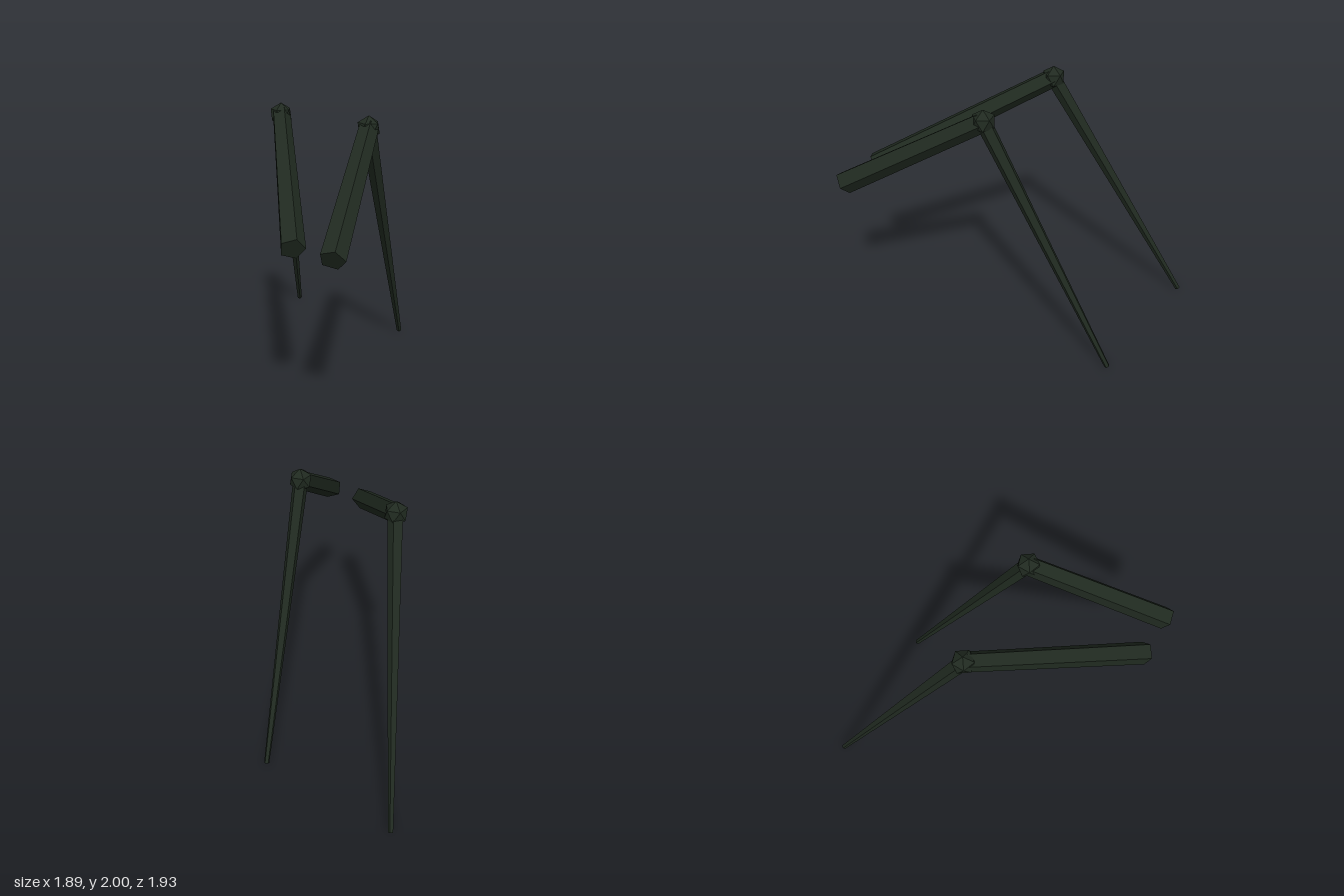
import * as THREE from 'three';
import { ConvexGeometry } from 'three/addons/geometries/ConvexGeometry.js';

const UP = new THREE.Vector3(0, 1, 0);

// Five-sided tapered limb from a to b, with one edge turned level to the side
function limb(name, a, b, ra, rb, material) {
  const dir = b.clone().sub(a);
  const length = dir.length();
  dir.normalize();
  const side = dir.clone().cross(UP).normalize();
  const across = dir.clone().cross(side);
  const mesh = new THREE.Mesh(new THREE.CylinderGeometry(rb, ra, length, 5), material);
  mesh.name = name;
  mesh.quaternion.setFromRotationMatrix(new THREE.Matrix4().makeBasis(across, dir, side));
  mesh.position.copy(a).add(b).multiplyScalar(0.5);
  return mesh;
}

// Icosahedron standing on a corner: two poles and two staggered rings of five
function jointGeometry(r) {
  const points = [new THREE.Vector3(0, r, 0), new THREE.Vector3(0, -r, 0)];
  const ringY = r / Math.sqrt(5);
  for (let i = 0; i < 10; i++) {
    const t = (i * Math.PI) / 5;
    points.push(new THREE.Vector3(2 * ringY * Math.sin(t), i % 2 ? -ringY : ringY, 2 * ringY * Math.cos(t)));
  }
  return new ConvexGeometry(points);
}

export function createModel() {
  const shell = new THREE.MeshStandardMaterial({ color: 0x202a20, flatShading: true });
  shell.name = 'darkGreenShell';
  const model = new THREE.Group();
  model.name = 'jointedLegs';
  const knee = jointGeometry(0.085);

  // Each leg: hip, knee and foot depth
  const legs = [
    { name: 'frontLeg', hipZ: 0.89, kneeZ: 0.46, footZ: 0.175 },
    { name: 'backLeg', hipZ: 0.575, kneeZ: -0.34, footZ: -0.94 },
  ];
  for (const { name, hipZ, kneeZ, footZ } of legs) {
    const hip = new THREE.Vector3(-0.885, 1.318, hipZ);
    const bend = new THREE.Vector3(0.037, 1.915, kneeZ);
    const foot = new THREE.Vector3(0.925, 0.01, footZ);
    const leg = new THREE.Group();
    leg.name = name;
    const joint = new THREE.Mesh(knee, shell);
    joint.name = 'knee';
    joint.position.copy(bend);
    leg.add(
      limb('thigh', hip, bend, 0.085, 0.07, shell),
      limb('shin', bend, foot, 0.056, 0.02, shell),
      joint,
    );
    model.add(leg);
  }
  return model;
}
